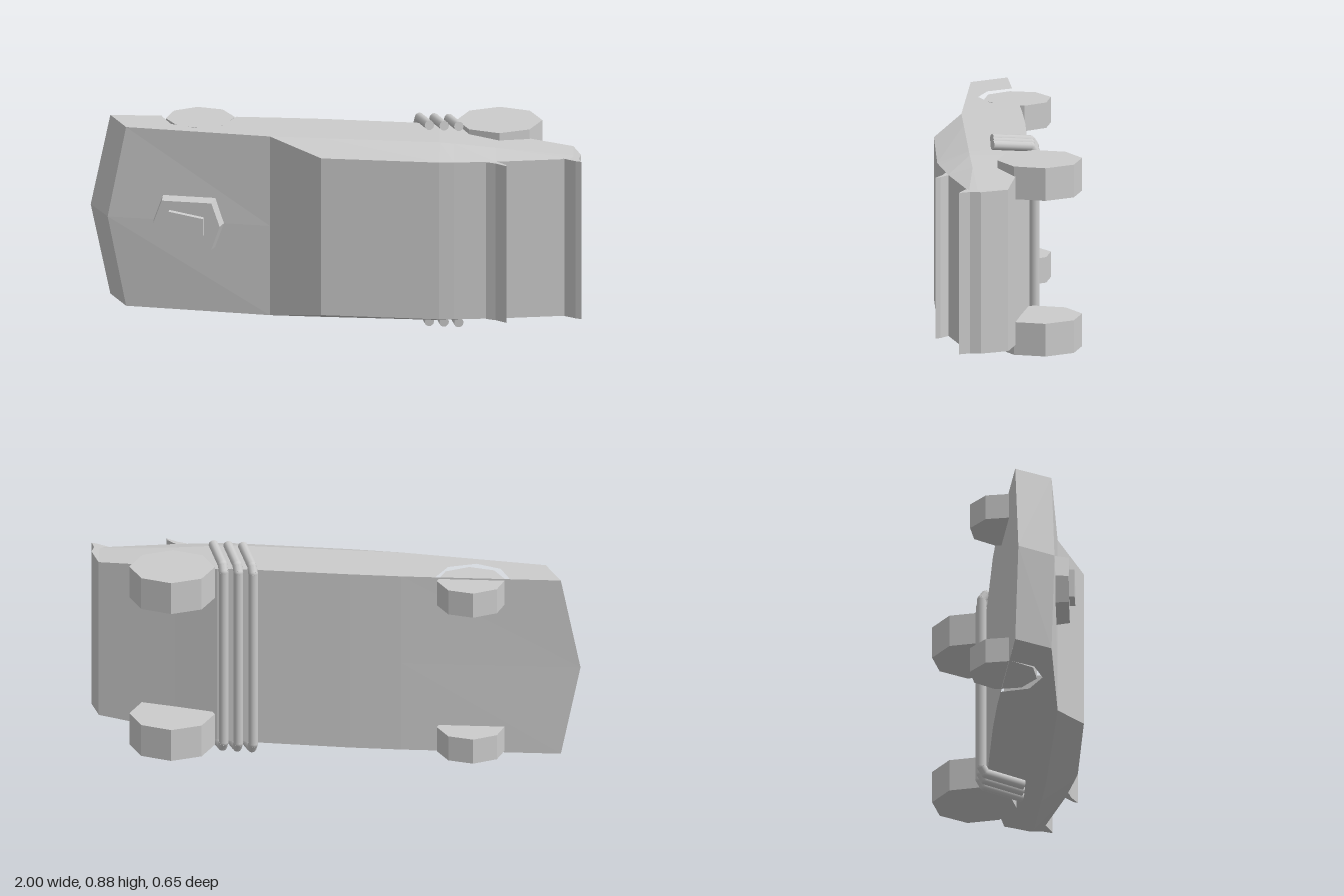
import * as THREE from 'three';

const MID = 0.441; // height of the car's centre line (it lies on its side)
const mat = new THREE.MeshStandardMaterial({ color: 0xcccccc, flatShading: true });
const smoothMat = new THREE.MeshStandardMaterial({ color: 0xcccccc });

function add(parent, name, geometry, material = mat) {
  const mesh = new THREE.Mesh(geometry, material);
  mesh.name = name;
  parent.add(mesh);
  return mesh;
}

// Cross-section of the body: floor, shoulder and roof, with a centre line.
function ring(x, floor, shoulder, top, low, high) {
  return [[0, floor], [low, floor], [low, shoulder], [high, top],
    [0, top], [-high, top], [-low, shoulder], [-low, floor]].map(([y, z]) => [x, y, z]);
}

function bodyShell() {
  const W = 0.382, R = 0.335;
  const nose = ring(-0.855, -0.2, -0.04, -0.04, W, W);
  for (const i of [1, 7]) nose[i][0] = -0.92;
  nose[0][0] = -1; // pointed nose
  nose[4][0] = -0.93;
  const rings = [
    nose,
    ring(-0.27, -0.17, 0.08, 0.08, W, W),
    ring(-0.06, -0.153, 0.1, 0.222, W, R),
    ring(0.42, -0.1, 0.145, 0.275, 0.38, R),
    ring(0.48, -0.095, 0.15, 0.273, 0.376, R),
    ring(0.65, -0.038, 0.162, 0.262, 0.362, R),
    ring(0.965, 0.06, 0.185, 0.22, 0.337, R),
  ];
  const pos = [];
  const quad = (a, b, c, d) => pos.push(...a, ...b, ...c, ...a, ...c, ...d);
  for (let k = 0; k < rings.length - 1; k++) {
    for (let i = 0; i < 8; i++) {
      // the front flanks are separate panels with wheel arches
      if (k === 0 && [1, 2, 5, 6].includes(i)) continue;
      const j = (i + 1) % 8;
      quad(rings[k][i], rings[k][j], rings[k + 1][j], rings[k + 1][i]);
    }
  }
  quad(nose[0], nose[4], nose[3], nose[1]);
  quad(nose[0], nose[7], nose[5], nose[4]);
  const g = new THREE.BufferGeometry();
  g.setAttribute('position', new THREE.Float32BufferAttribute(pos, 3));
  g.computeVertexNormals();
  return g;
}

// Flat front flank with the arch cut out of its lower edge.
function archPanel(side) {
  const pts = [[-0.92, -0.2], [-0.855, -0.04], [-0.27, 0.08], [-0.27, -0.17], [-0.403, -0.177]];
  for (let i = 0; i <= 4; i++) {
    const a = Math.PI * i / 4 + 0.1 * Math.sin(Math.PI * i / 4);
    pts.push([-0.558 + 0.152 * Math.cos(a), -0.182 + 0.152 * Math.sin(a)]);
  }
  pts.push([-0.71, -0.19]);
  const shape = new THREE.Shape(pts.map(([x, z]) => new THREE.Vector2(x, -side * z)));
  return new THREE.ShapeGeometry(shape).rotateX(-side * Math.PI / 2).translate(0, side * 0.382, 0);
}

// Profile in x and z, extruded across the width of the car.
function crossStrip(points, half) {
  const shape = new THREE.Shape(points.map(p => new THREE.Vector2(...p)));
  return new THREE.ExtrudeGeometry(shape, { depth: 2 * half, bevelEnabled: false })
    .rotateX(Math.PI / 2).translate(0, half, 0);
}

// Outline extruded upwards from the hood, narrowing by a factor.
function block(points, height, taper) {
  const shape = new THREE.Shape(points.map(p => new THREE.Vector2(...p)));
  const g = new THREE.ExtrudeGeometry(shape, { depth: height, bevelEnabled: false });
  const p = g.attributes.position;
  for (let i = 0; i < p.count; i++) {
    if (p.getZ(i) > height / 2) p.setXY(i, p.getX(i) * taper, p.getY(i) * taper);
  }
  g.computeVertexNormals();
  return g;
}

// Straight rods with rounded elbows along a list of points.
function pipe(parent, points, radius) {
  const group = new THREE.Group();
  group.name = 'exhaustPipe';
  parent.add(group);
  const up = new THREE.Vector3(0, 1, 0);
  for (let i = 0; i < points.length - 1; i++) {
    const dir = points[i + 1].clone().sub(points[i]);
    const rod = add(group, 'pipeSection',
      new THREE.CylinderGeometry(radius, radius, dir.length(), 10), smoothMat);
    rod.position.copy(points[i]).addScaledVector(dir, 0.5);
    rod.quaternion.setFromUnitVectors(up, dir.normalize());
    if (i > 0) {
      add(group, 'pipeElbow', new THREE.SphereGeometry(radius, 10, 8), smoothMat)
        .position.copy(points[i]);
    }
  }
}

export function createModel() {
  const model = new THREE.Group();
  model.name = 'car';
  const car = new THREE.Group();
  car.name = 'carParts';
  car.position.y = MID;
  model.add(car);

  // Body, window ledge and tail
  add(car, 'body', bodyShell());
  for (const side of [1, -1]) add(car, 'frontFlank', archPanel(side));
  add(car, 'roofFin', crossStrip(
    [[0.61, 0.255], [0.61, 0.268], [0.65, 0.285], [0.695, 0.32], [0.69, 0.3], [0.65, 0.255]], 0.335));
  add(car, 'tail', crossStrip(
    [[0.925, 0.222], [0.975, 0.255], [0.998, 0.265], [0.987, 0.22], [0.997, 0.175], [0.965, 0.06]], 0.336));

  // Hood scoop, lying along the slope of the hood
  const scoop = new THREE.Group();
  scoop.name = 'hoodScoop';
  scoop.position.set(-0.594, 0, 0.01);
  scoop.rotation.y = -0.18;
  car.add(scoop);
  add(scoop, 'scoopBase', block(
    [[-0.15, 0], [-0.112, -0.105], [0.106, -0.105], [0.143, 0], [0.106, 0.105], [-0.112, 0.105]], 0.065, 0.94));
  add(scoop, 'scoopIntake', block(
    [[-0.075, -0.062], [0.07, -0.038], [0.07, 0.038], [-0.075, 0.062]], 0.088, 0.98));

  // Wheels
  for (const side of [1, -1]) {
    const front = add(car, 'frontWheel', new THREE.CylinderGeometry(0.14, 0.14, 0.106, 8));
    front.position.set(-0.555, side * 0.322, -0.189);
    front.rotation.y = 0.08;
    const rear = add(car, 'rearWheel', new THREE.CylinderGeometry(0.174, 0.174, 0.136, 8));
    rear.position.set(0.663, side * 0.324, -0.112);
  }

  // Exhaust pipes crossing under the floor and rising past both flanks
  for (let i = 0; i < 3; i++) {
    const x = 0.333 + 0.06 * i, z = 0.007 * i;
    const half = [[x + 0.046, 0.42, 0.045], [x + 0.005, 0.4, -0.118], [x, 0.375, -0.135]];
    const points = [
      ...half.map(p => new THREE.Vector3(p[0], p[1], p[2] + z)),
      ...half.slice().reverse().map(p => new THREE.Vector3(p[0], -p[1], p[2] + z)),
    ];
    pipe(car, points, 0.02);
  }
  return model;
}
